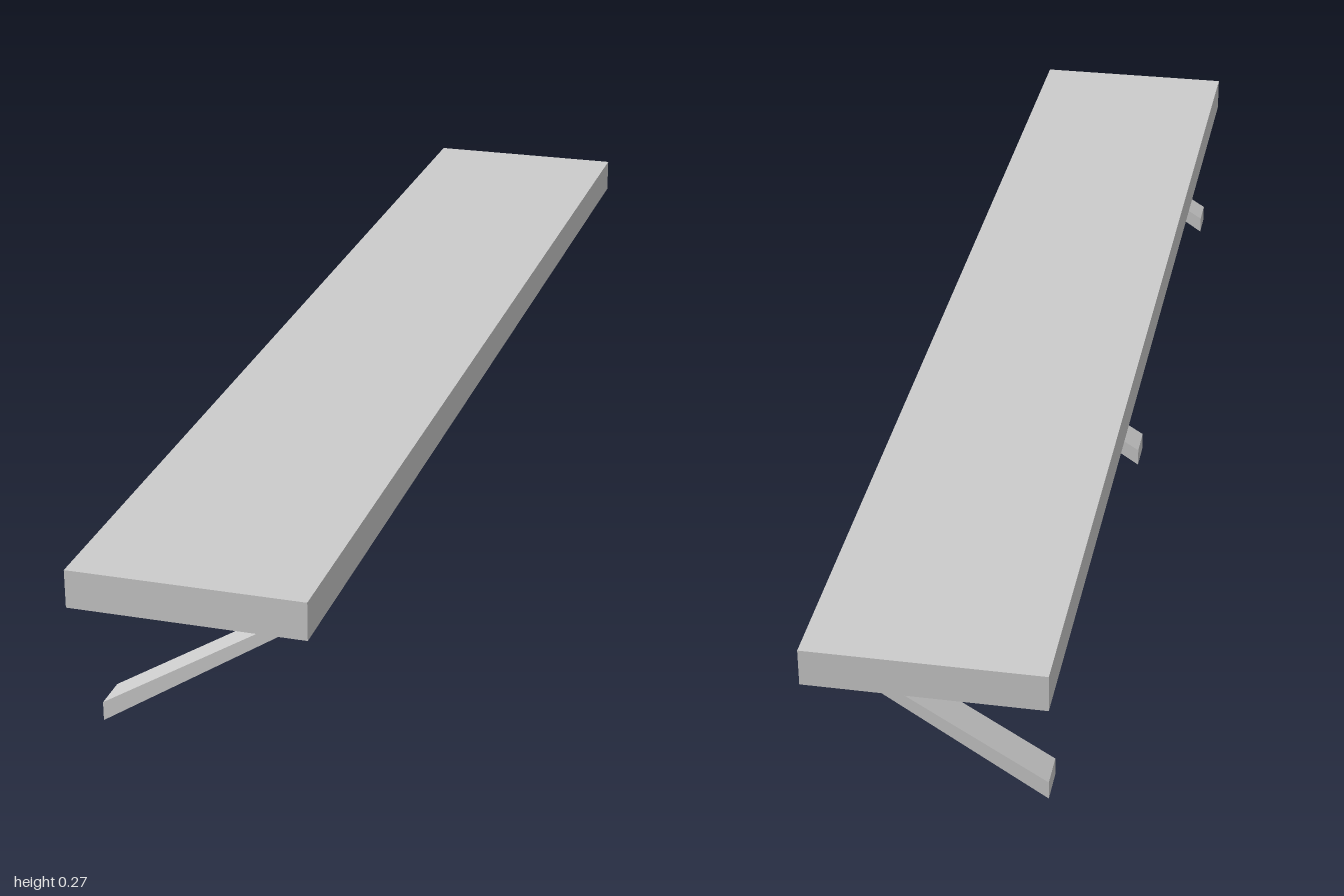
import * as THREE from 'three';

const WIDTH = 0.345, LENGTH = 2, UNDERSIDE = 0.217, THICKNESS = 0.057;
const STRUT_DEPTH = 0.054;

export function createModel() {
  const group = new THREE.Group();
  const material = new THREE.MeshStandardMaterial({ color: 0xcccccc, flatShading: true });

  // Shelf board
  const board = new THREE.Mesh(new THREE.BoxGeometry(WIDTH, THICKNESS, LENGTH), material);
  board.name = 'shelfBoard';
  board.position.y = UNDERSIDE + THICKNESS / 2;
  group.add(board);

  // Slanted strut: upright cut at the foot, level cut under the board
  const profile = new THREE.Shape([
    new THREE.Vector2(-0.159, 0),
    new THREE.Vector2(WIDTH / 2, UNDERSIDE),
    new THREE.Vector2(0.145, UNDERSIDE),
    new THREE.Vector2(-0.159, 0.029),
  ]);
  const strutGeometry = new THREE.ExtrudeGeometry(profile, { depth: STRUT_DEPTH, bevelEnabled: false });
  strutGeometry.translate(0, 0, -STRUT_DEPTH / 2);

  // Three struts along the board
  const places = { frontStrut: 0.895, middleStrut: 0, backStrut: -0.895 };
  for (const [name, z] of Object.entries(places)) {
    const strut = new THREE.Mesh(strutGeometry, material);
    strut.name = name;
    strut.position.z = z;
    group.add(strut);
  }

  return group;
}
